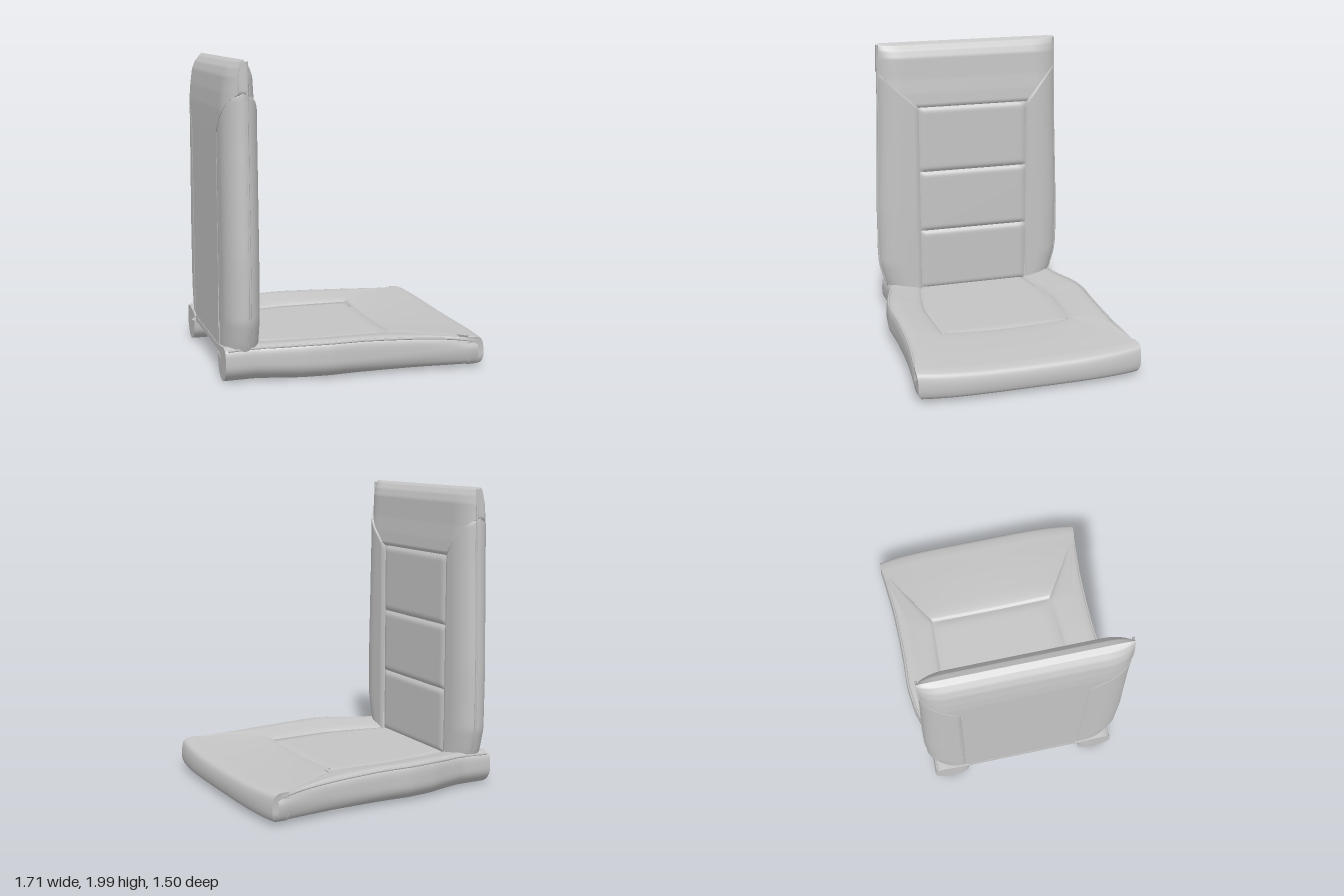
import * as THREE from 'three';

const grey = new THREE.MeshStandardMaterial({ color: 0xc4c4c4, side: THREE.DoubleSide });
grey.name = 'greyLeather';

// piecewise-linear lookup in [[position, value], ...]
function at(keys, p) {
  if (p <= keys[0][0]) return keys[0][1];
  for (let i = 1; i < keys.length; i++) {
    const [a, va] = keys[i - 1], [b, vb] = keys[i];
    if (p <= b) return va + (vb - va) * (p - a) / (b - a);
  }
  return keys[keys.length - 1][1];
}

// surface from a function of u, v in 0..1 returning [x, y, z]
function patch(name, nu, nv, f) {
  const pos = [], idx = [];
  for (let j = 0; j <= nv; j++) for (let i = 0; i <= nu; i++) pos.push(...f(i / nu, j / nv));
  for (let j = 0; j < nv; j++) for (let i = 0; i < nu; i++) {
    const a = j * (nu + 1) + i, b = a + 1, c = a + nu + 1, d = c + 1;
    idx.push(a, b, d, a, d, c);
  }
  const g = new THREE.BufferGeometry();
  g.setAttribute('position', new THREE.Float32BufferAttribute(pos, 3));
  g.setIndex(idx);
  g.computeVertexNormals();
  const m = new THREE.Mesh(g, grey);
  m.name = name;
  return m;
}

function piping(name, pts, r) {
  const curve = new THREE.CatmullRomCurve3(pts.map(p => new THREE.Vector3(...p)));
  const m = new THREE.Mesh(new THREE.TubeGeometry(curve, 48, r, 6), grey);
  m.name = name;
  return m;
}

// soft fall towards the edge of a stitched panel
const puff = (u, w) => Math.min(1, Math.sqrt(Math.min(u, 1 - u) / w));

function backrest() {
  const g = new THREE.Group();
  g.name = 'backrest';
  const cx = -0.735, y0 = 0.2, top = 2, mid = 1.55, mitre = 1.8;
  const half = s => 0.395 - 0.022 * s; // the panels sit slightly off centre
  const width = y => at([[0.2, 0.61], [0.26, 0.632], [0.4, 0.668], [0.8, 0.672], [1.5, 0.65], [2, 0.645]], y);
  const inner = (y, s) => Math.min(width(y),
    at([[mid, half(s)], [1.6, 0.44 - 0.015 * s], [1.68, 0.52], [1.76, 0.6], [mitre, 0.65]], y));
  // rounding towards the side edge, 1 in the middle and 0 at the piping
  const round = (z, y) => {
    const t = Math.max(0, (z - width(y) + 0.17) / 0.17);
    return Math.sqrt(Math.max(0, 1 - t * t));
  };
  const frontT = [[mid, 0.098], [1.565, 0.11], [1.65, 0.105], [1.75, 0.094], [1.9, 0.085], [1.95, 0.066], [1.985, 0.036], [2, 0]];
  const rearT = [[mid, 0.115], [1.7, 0.114], [1.8, 0.106], [1.9, 0.092], [1.95, 0.07], [1.985, 0.036], [2, 0]];
  const head = (table, z, y) => at(table, y) * Math.max(0.3, round(z, y));

  for (const s of [1, -1]) {
    // side bolsters, front and rear halves meeting at the piping
    for (const f of [1, -1]) {
      g.add(patch('backBolster', 24, 60, (u, v) => {
        const y = y0 + (mitre - y0) * v, zi = inner(y, s);
        const z = zi + (width(y) - zi) * Math.sin(u * Math.PI / 2);
        const groove = u < 0.03 ? 0.014 : 0;
        return [cx + f * Math.max(0, 0.114 * round(z, y) - groove), y, s * z];
      }));
    }
    // narrow ends of the head panel
    g.add(patch('headEnd', 4, 30, (u, v) => {
      const y = mid + (top - mid) * v, z = inner(y, s);
      return [cx - head(rearT, z, y) * (1 - u) + head(frontT, z, y) * u, y, s * z];
    }));
    const ys = [0.24, 0.4, 0.8, 1.2, 1.5, 1.8, 1.99];
    g.add(piping('backPiping', ys.map(y => [-0.712, y, s * (width(y) - 0.005)]), 0.008));
  }

  // head panel across the top, thinning towards both sides
  for (const [f, table] of [[1, frontT], [-1, rearT]]) {
    g.add(patch('headPanel', 48, 48, (u, v) => {
      const y = mid + (top - mid) * Math.sin(v * Math.PI / 2);
      const z = inner(y, u < 0.5 ? -1 : 1) * Math.sin((u - 0.5) * Math.PI);
      return [cx + f * head(table, Math.abs(z), y), y, z];
    }));
  }

  // three stitched front panels and the flat rear panel
  const across = u => half(1) * u - half(-1) * (1 - u);
  [[y0, 0.64], [0.64, 1.08], [1.08, mid]].forEach(([a, b]) => {
    g.add(patch('backPanel', 40, 30, (u, v) =>
      [-0.643 + 0.018 * puff(u, 0.05) * puff(v, 0.07), a + (b - a) * v, across(u)]));
  });
  g.add(patch('rearPanel', 4, 4, (u, v) => [-0.849, y0 + (mid - y0) * v, across(u)]));
  g.position.z = 0.008;
  return g;
}

function cushion() {
  const g = new THREE.Group();
  g.name = 'cushion';
  const x0 = -0.86, x1 = 0.77, split = 0.25;
  const width = x => at([[-0.86, 0.635], [-0.65, 0.63], [-0.5, 0.665], [-0.38, 0.7], [-0.2, 0.72], [0, 0.712],
    [0.2, 0.712], [0.4, 0.718], [0.6, 0.735], [0.74, 0.75], [0.79, 0.742]], x);
  const inner = x => at([[-0.86, 0.38], [-0.64, 0.39], [-0.4, 0.435], [-0.2, 0.46], [0, 0.452],
    [split, 0.44], [0.5, 0.6], [0.7, 0.715], [0.79, 0.72]], x);
  const ridge = x => at([[-0.86, 0.235], [-0.6, 0.242], [-0.3, 0.26], [0, 0.257], [0.2, 0.25], [0.45, 0.238],
    [0.6, 0.226], [0.79, 0.2]], x);
  const seat = x => at([[-0.86, 0.2], [split, 0.208], [0.7, 0.215], [0.79, 0.195]], x);
  // how far a roll reaches inwards below the seat
  const reach = x => at([[-0.1, 0.24], [0.6, 0.17]], x);

  // cross-section of a side roll, from the inner seam over the top and back up under the seat
  const section = x => {
    const w = width(x), i = inner(x), r = ridge(x), s = Math.min(seat(x), r), d = Math.max(0.01, w - i);
    const b = at([[-0.5, 0.012], [0.7, 0.026]], x), k = reach(x);
    return new THREE.CatmullRomCurve3([
      [i, s], [i + 0.1 * d, s + 0.35 * (r - s)], [i + 0.5 * d, s + 0.8 * (r - s)], [w - Math.min(0.06, 0.3 * d), r],
      [w - 0.012, r - 0.018], [w, 0.15], [w - 0.005, 0.095], [w - 0.14 * k, 0.05], [w - 0.34 * k, b + 0.005],
      [w - 0.52 * k, b], [w - 0.75 * k, b + 0.018], [w - 0.94 * k, 0.08], [w - k, 0.165],
    ].map(([z, y]) => new THREE.Vector3(x, y, z)));
  };
  const NX = 56, NS = 48;
  const rows = Array.from({ length: NX + 1 }, (_, j) => section(x0 + (x1 - x0) * j / NX).getPoints(NS));

  // front panel profile: x, y, half width
  const nose = [[split, 0.197, 0.44], [0.27, 0.211, 0.453], [0.5, 0.217, 0.6], [0.7, 0.208, 0.715], [0.78, 0.202, 0.742],
    [0.83, 0.185, 0.742], [0.849, 0.14, 0.737], [0.849, 0.08, 0.735], [0.835, 0.044, 0.718], [0.79, 0.028, 0.69],
    [0.74, 0.03, 0.66]].map(p => new THREE.Vector3(...p));
  const nosePts = new THREE.CatmullRomCurve3(nose).getPoints(48);
  const noseAt = (v, t) => {
    const p = nosePts[Math.round(v * 48)], bow = THREE.MathUtils.smoothstep(p.x, 0.6, 0.85);
    const rise = p.y > 0.1 ? Math.min(1, (p.y - 0.1) / 0.08) : 0;
    return [p.x - 0.04 * bow * t ** 4, p.y + 0.02 * rise * t * t, p.z * t];
  };
  g.add(patch('frontPanel', 32, 48, (u, v) => noseAt(v, 2 * u - 1)));

  for (const s of [1, -1]) {
    g.add(patch('sideRoll', NS, NX, (u, v) => {
      const p = rows[Math.round(v * NX)][Math.round(u * NS)];
      return [p.x, p.y, s * p.z];
    }));
    // flat rear end of each roll
    g.add(patch('rollEnd', NS, 1, (u, v) => {
      const p = rows[0][Math.round(u * NS)];
      return v ? [p.x, 0.14, s * (width(p.x) - 0.12)] : [p.x, p.y, s * p.z];
    }));
    // corner cheeks joining the front panel to the rolls
    g.add(patch('frontCorner', 6, 32, (u, v) => {
      const [x, y, z] = noseAt((16 + 32 * v) / 48, s);
      return [x + (0.7 - x) * u, y, z + (s * Math.min(0.738, Math.abs(z) + 0.003) - z) * u];
    }));
    const xs = [-0.84, -0.65, -0.5, -0.35, -0.2, 0, 0.2, 0.4, 0.6, 0.74];
    g.add(piping('cushionPiping', xs.map(x => [x, ridge(x) - 0.012, s * (width(x) - 0.014)]), 0.008));
    // cover flap under each front corner
    const flap = new THREE.Mesh(new THREE.BoxGeometry(0.13, 0.012, 0.12), grey);
    flap.name = 'coverFlap';
    flap.position.set(0.31, 0.018, s * 0.57);
    g.add(flap);
  }

  // centre panel, sinking into the cross seam
  g.add(patch('centrePanel', 24, 40, (u, v) => {
    const x = x0 + 0.01 + (split - x0 - 0.01) * v;
    return [x, 0.197 + 0.011 * puff(u, 0.04) * Math.min(1, (1 - v) / 0.03), inner(x) * (2 * u - 1)];
  }));

  // hollow underside: thin seat slab, stepped rib, then the recess behind the front lip
  const slab = [[-0.85, 0.197], [-0.85, 0.165], [0.09, 0.165], [0.09, 0.13], [0.13, 0.13], [0.13, 0.095],
    [0.17, 0.095], [0.17, 0.14], [0.74, 0.16], [0.74, 0.03]];
  for (let k = 1; k < slab.length; k++) {
    const [[xa, ya], [xb, yb]] = [slab[k - 1], slab[k]];
    g.add(patch('undersidePad', 2, 24, (u, v) => {
      const x = xa + (xb - xa) * v;
      return [x, ya + (yb - ya) * v, (width(x) - reach(x) + 0.01) * (2 * u - 1)];
    }));
  }
  return g;
}

export function createModel() {
  const model = new THREE.Group();
  model.name = 'vehicleSeat';
  model.add(cushion(), backrest());
  return model;
}
